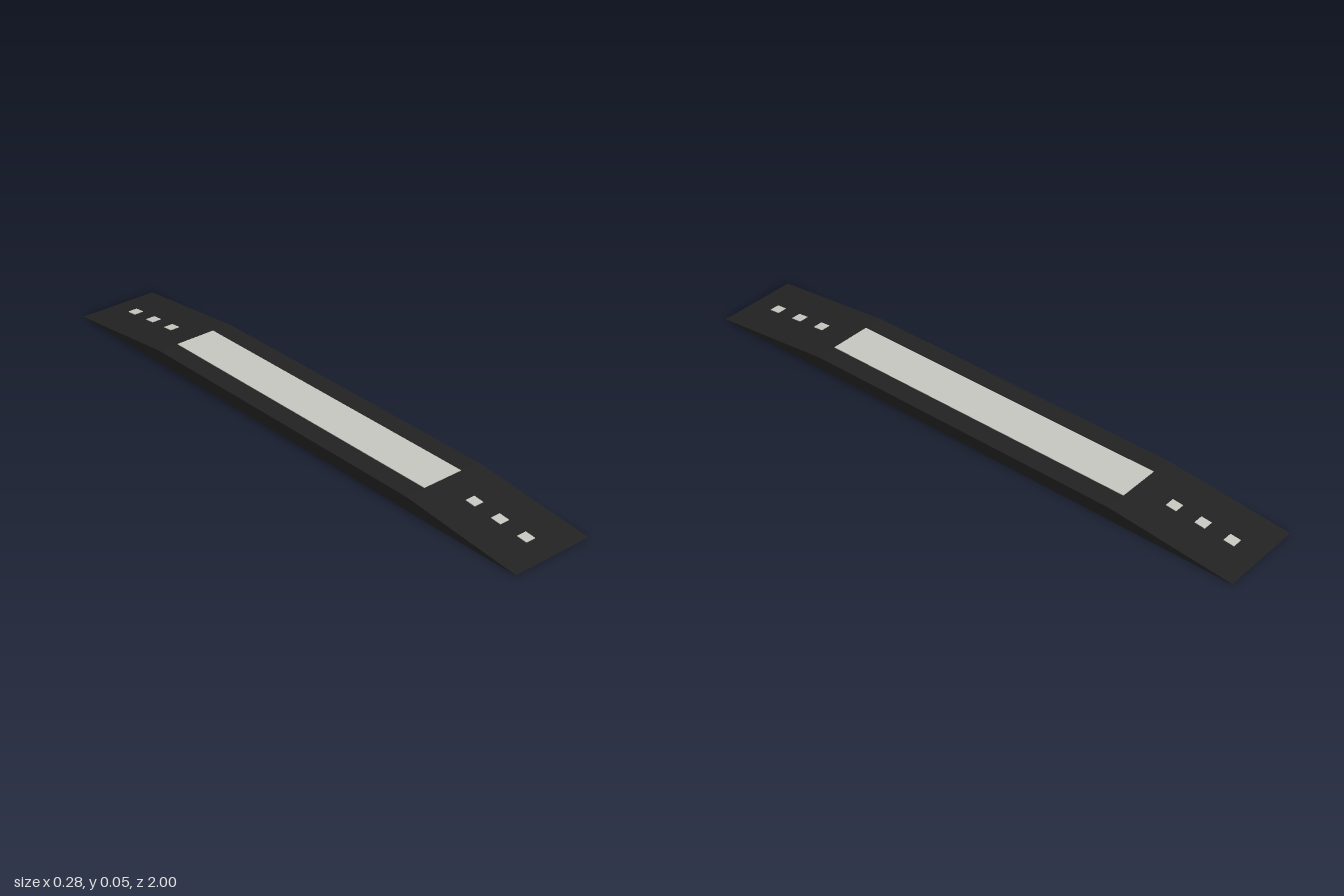
import * as THREE from 'three';

export function createModel() {
  const group = new THREE.Group();
  const black = new THREE.MeshStandardMaterial({ color: 0x222222 });
  black.name = 'black';
  const paleGrey = new THREE.MeshStandardMaterial({ color: 0xc6c6c0 });
  paleGrey.name = 'pale grey';

  const W = 0.284, H = 0.043, TIP = 0.001, FLAT = 0.572;

  // Long bar with a ramp at each end: side profile extruded across the width
  const profile = new THREE.Shape([
    [-1, 0], [1, 0], [1, TIP], [FLAT, H], [-FLAT, H], [-1, TIP],
  ].map(([z, y]) => new THREE.Vector2(z, y)));
  const bodyGeo = new THREE.ExtrudeGeometry(profile, { depth: W, bevelEnabled: false });
  bodyGeo.translate(0, 0, -W / 2).rotateY(-Math.PI / 2);
  const body = new THREE.Mesh(bodyGeo, black);
  body.name = 'rampedBody';
  group.add(body);

  // Thin plate laid on the flat top
  const panel = new THREE.Mesh(new THREE.BoxGeometry(0.144, 0.002, FLAT * 2), paleGrey);
  panel.name = 'topPanel';
  panel.position.y = H + 0.001;
  group.add(panel);

  // Three small square markers lying along each ramp
  const slope = Math.atan2(H - TIP, 1 - FLAT);
  const markerGeo = new THREE.BoxGeometry(0.034, 0.002, 0.036);
  for (const side of [1, -1]) {
    for (const z of [0.7, 0.8, 0.9]) {
      const marker = new THREE.Mesh(markerGeo, paleGrey);
      marker.name = 'rampMarker';
      marker.position.set(0, TIP + (1 - z) * Math.tan(slope) + 0.001, side * z);
      marker.rotation.x = side * slope;
      group.add(marker);
    }
  }
  return group;
}
